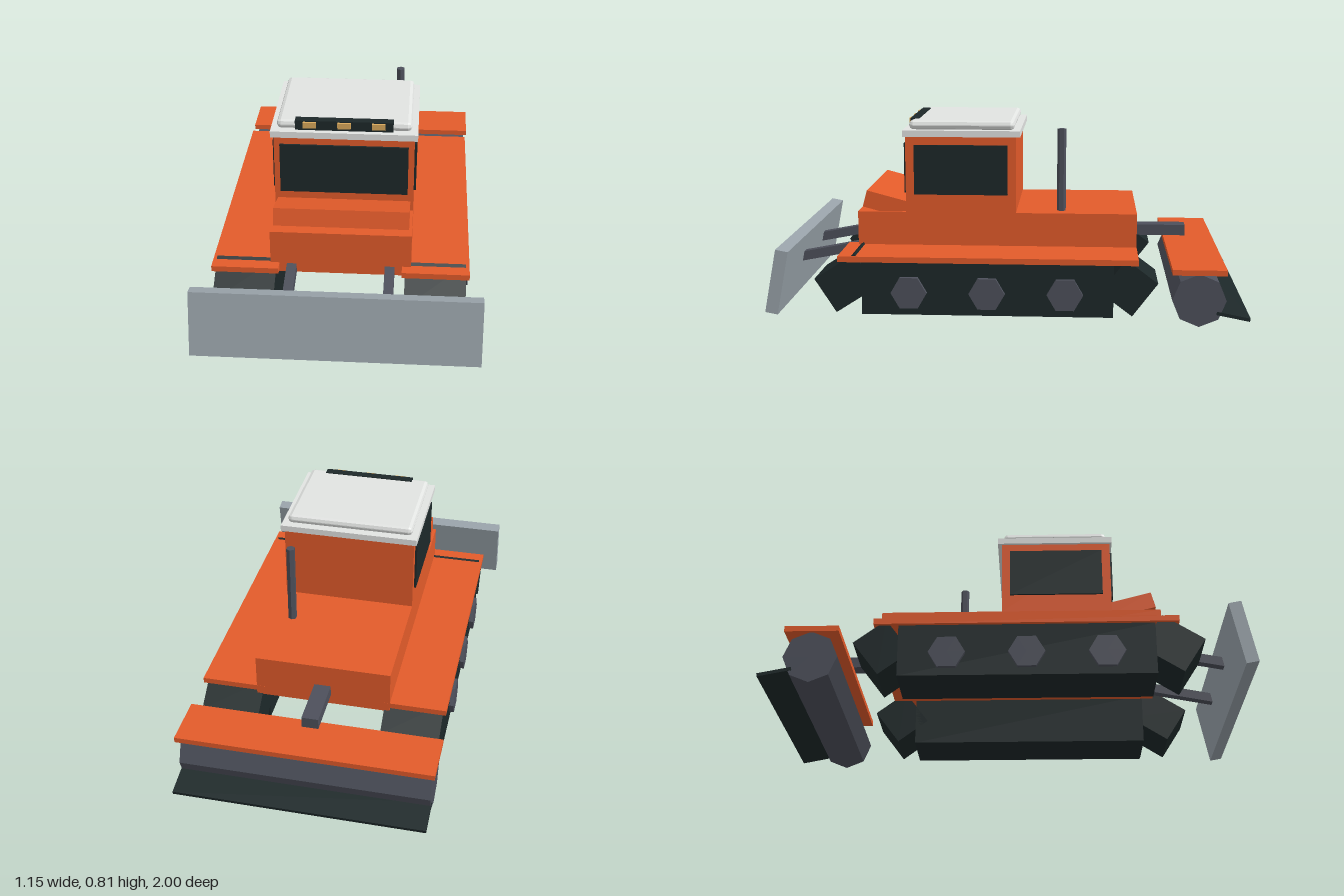
import * as THREE from 'three';
import { RoundedBoxGeometry } from 'three/addons/geometries/RoundedBoxGeometry.js';

const paint = (name, color) => {
  const m = new THREE.MeshStandardMaterial({ color });
  m.name = name;
  return m;
};

export function createModel() {
  const model = new THREE.Group();
  model.name = 'snowGroomer';

  const orange = paint('orange', 0xe35b2a);
  const dark = paint('darkRubber', 0x1d2829);
  const steel = paint('darkSteel', 0x4d505b);
  const bladeGrey = paint('bladeGrey', 0x99a3aa);
  const white = paint('roofWhite', 0xe2e4e2);
  const amber = paint('amber', 0xd9a95c);

  const add = (name, geometry, material, x, y, z, tilt = 0) => {
    const mesh = new THREE.Mesh(geometry, material);
    mesh.name = name;
    mesh.position.set(x, y, z);
    mesh.rotation.x = tilt;
    model.add(mesh);
    return mesh;
  };

  // Box centred on a point, tilted about the x axis
  const box = (name, material, [w, h, d], [x, y, z], tilt) =>
    add(name, new THREE.BoxGeometry(w, h, d), material, x, y, z, tilt);

  // Box given by its limits on each axis
  const span = (name, material, [x0, x1], [y0, y1], [z0, z1]) =>
    box(name, material, [x1 - x0, y1 - y0, z1 - z0],
      [(x0 + x1) / 2, (y0 + y1) / 2, (z0 + z1) / 2]);

  // Faceted cylinder, upright or lying along x
  const prism = (name, material, r, length, sides, [x, y, z], alongX) => {
    const g = new THREE.CylinderGeometry(r, r, length, sides).toNonIndexed();
    g.computeVertexNormals();
    if (alongX) g.rotateZ(Math.PI / 2);
    return add(name, g, material, x, y, z);
  };

  // Hull, sloping nose and cab
  span('hull', orange, [-0.287, 0.287], [0.235, 0.421], [-0.54, 0.655]);
  box('nose', orange, [0.55, 0.073, 0.25], [0, 0.443, 0.506], -0.26);
  span('cab', orange, [-0.287, 0.287], [0.42, 0.75], [-0.025, 0.447]);
  span('windscreen', dark, [-0.263, 0.263], [0.5, 0.715], [0.447, 0.456]);

  // Roof with its chamfered pad and light bar
  span('roofSlab', white, [-0.3, 0.3], [0.747, 0.774], [-0.043, 0.457]);
  const pad = new RoundedBoxGeometry(0.55, 0.038, 0.45, 1, 0.017);
  pad.computeVertexNormals();
  add('roofPad', pad, white, 0, 0.793, 0.207);
  span('lightBar', dark, [-0.2, 0.2], [0.774, 0.815], [0.397, 0.434]);
  for (const x of [-0.14, 0, 0.14]) {
    span('lamp', amber, [x - 0.027, x + 0.027], [0.786, 0.811], [0.43, 0.444]);
  }

  // Exhaust stack
  prism('exhaust', steel, 0.019, 0.36, 6, [0.21, 0.595, -0.217], false);

  // Tracks, fenders, side windows and blade arms on both sides
  for (const s of [1, -1]) {
    box('sideWindow', dark, [0.009, 0.213, 0.4], [s * 0.2915, 0.605, 0.21]);
    box('fender', orange, [0.274, 0.024, 1.243], [s * 0.387, 0.265, 0.081]);
    box('track', dark, [0.247, 0.223, 1.045], [s * 0.386, 0.1405, 0.083]);
    box('trackFront', dark, [0.247, 0.168, 0.202], [s * 0.386, 0.16, 0.673], 0.57);
    box('trackRear', dark, [0.247, 0.175, 0.165], [s * 0.386, 0.156, -0.5035], -0.6435);
    for (const z of [0.407, 0.083, -0.24]) {
      prism('roadWheel', steel, 0.075, 0.04, 6, [s * 0.508, 0.125, z], true);
    }
    box('bladeArm', steel, [0.04, 0.04, 0.36], [s * 0.2, 0.237, 0.745], 0.19);
  }

  // Front blade
  box('blade', bladeGrey, [1.147, 0.27, 0.053], [0, 0.176, 0.947], -0.19);

  // Rear tiller: arm, roller, cover and trailing flap
  span('tillerArm', steel, [-0.035, 0.035], [0.278, 0.325], [-0.763, -0.5]);
  prism('tillerRoller', steel, 0.111, 1.044, 8, [0, 0.111, -0.79], true);
  span('tillerCover', orange, [-0.535, 0.535], [0.219, 0.242], [-0.9, -0.678]);
  box('tillerFlap', dark, [1.048, 0.014, 0.14], [0, 0.046, -0.93], -0.19);

  return model;
}
